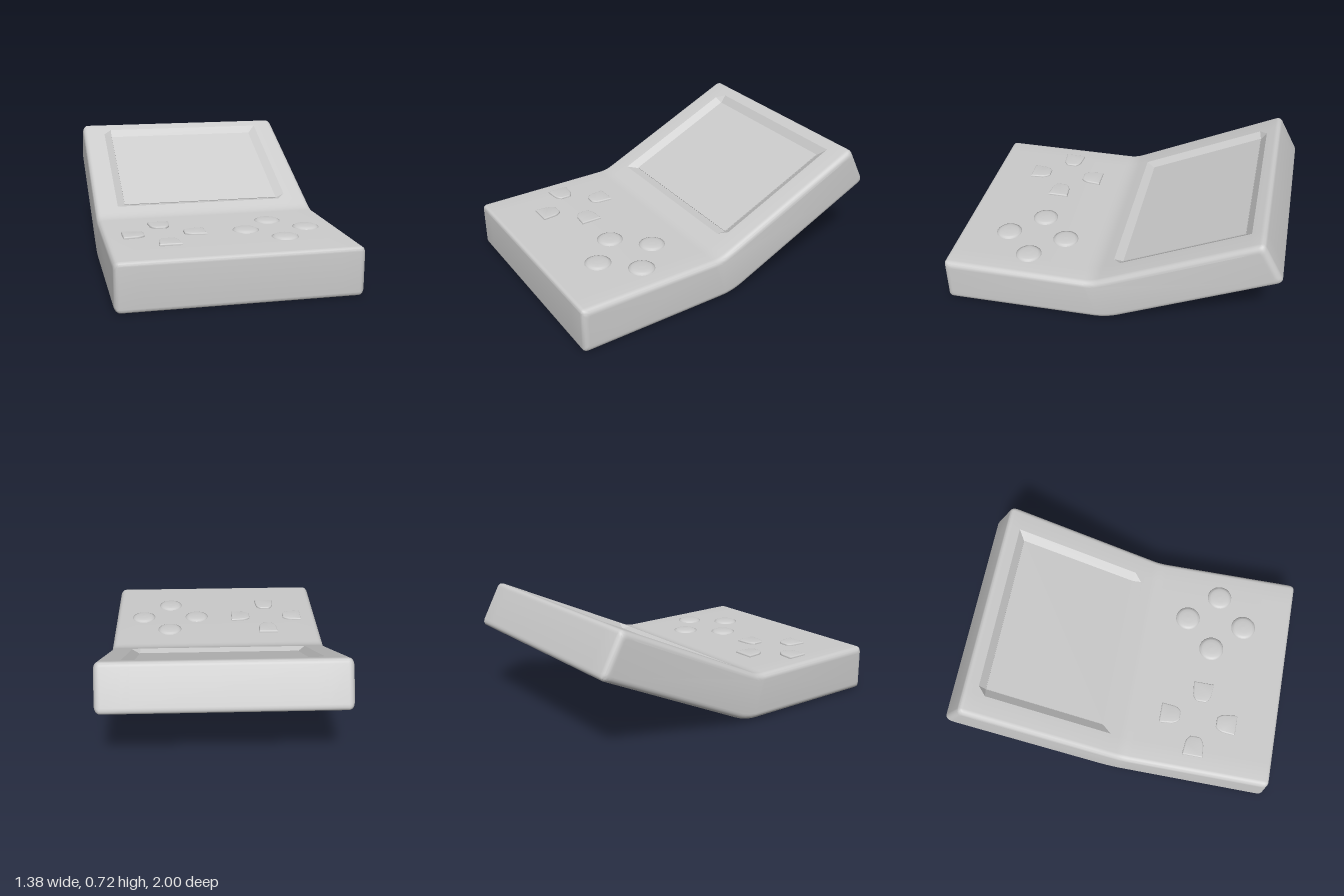
import * as THREE from 'three';
import { mergeVertices, toCreasedNormals } from 'three/addons/utils/BufferGeometryUtils.js';

const grey = new THREE.MeshStandardMaterial({ color: 0xcccccc });
const HALF_WIDTH = 0.692, EDGE = 0.035, DECK = 0.28;

// Side outline as [z, y, corner radius], counter-clockwise seen from -x
const CORNERS = [
  [1, 0, 0.025], [1, DECK, 0.025], [0.09, DECK, 0.05],
  [-0.875, 0.729, 0.03], [-1.008, 0.482, 0.035], [0.0, 0.012, 0.08],
];
const HINGE = new THREE.Vector2(0.09, DECK);
const UP_SLOPE = new THREE.Vector2(-0.965, 0.449).normalize();
const SLOPE_NORMAL = new THREE.Vector2(UP_SLOPE.y, -UP_SLOPE.x);
const SCREEN_START = 0.162, SCREEN_END = 0.932, BEVEL = 0.05, DEPTH = 0.03;

// Point on the lid face, a distance along the slope and a depth below it
const onLid = (s, depth) => HINGE.clone().addScaledVector(UP_SLOPE, s).addScaledVector(SLOPE_NORMAL, -depth);

// Rounded outline, inset all round, with the screen recess sunk to a depth
function profile(inset, depth) {
  const n = CORNERS.length;
  const raw = CORNERS.map(([z, y]) => new THREE.Vector2(z, y));
  const dir = (i) => raw[(i + 1) % n].clone().sub(raw[i % n]).normalize();
  const moved = raw.map((p, i) => {
    const a = dir(i + n - 1), b = dir(i);
    const inward = new THREE.Vector2(-a.y - b.y, a.x + b.x);
    return p.clone().addScaledVector(inward, inset / (1 + a.dot(b)));
  });
  const points = [];
  moved.forEach((p, i) => {
    const r = CORNERS[i][2];
    const start = p.clone().addScaledVector(dir(i + n - 1), -r);
    const end = p.clone().addScaledVector(dir(i), r);
    points.push(...new THREE.QuadraticBezierCurve(start, p, end).getPoints(6));
    if (i === 2) {
      points.push(
        onLid(SCREEN_START - BEVEL, inset), onLid(SCREEN_START, inset + depth),
        onLid(SCREEN_END, inset + depth), onLid(SCREEN_END + BEVEL, inset),
      );
    }
  });
  return points;
}

// Bent case: the side outline lofted across the width
function makeCase() {
  const half = [[0.5, 0, DEPTH], [0.5 + BEVEL, 0, 0]];
  for (let i = 0; i <= 6; i++) {
    const a = (i / 6) * Math.PI / 2;
    half.push([HALF_WIDTH - EDGE + EDGE * Math.sin(a), EDGE * (1 - Math.cos(a)), 0]);
  }
  const stations = [...half.map(([x, ...rest]) => [-x, ...rest]).reverse(), ...half];
  const loops = stations.map(([, inset, depth]) => profile(inset, depth));
  const count = loops[0].length, last = loops.length - 1;
  const positions = [], index = [];
  loops.forEach((loop, i) => loop.forEach((p) => positions.push(stations[i][0], p.y, p.x)));
  for (let i = 0; i < last; i++) {
    for (let j = 0; j < count; j++) {
      const k = (j + 1) % count;
      const a = i * count + j, b = a + count, c = (i + 1) * count + k, d = i * count + k;
      index.push(a, b, c, a, c, d);
    }
  }
  // Flat side walls
  for (const [a, b, c] of THREE.ShapeUtils.triangulateShape(loops[0], [])) {
    const o = last * count;
    index.push(a, b, c, o + a, o + c, o + b);
  }
  const geometry = new THREE.BufferGeometry();
  geometry.setAttribute('position', new THREE.Float32BufferAttribute(positions, 3));
  geometry.setIndex(index);
  return toCreasedNormals(mergeVertices(geometry), 0.35);
}

// One direction key, wide at the outside and rounded towards the centre
function makeKey() {
  const s = new THREE.Shape();
  s.moveTo(-0.056, 0.233);
  s.lineTo(-0.05, 0.165);
  s.quadraticCurveTo(-0.045, 0.138, -0.026, 0.124);
  s.lineTo(0.026, 0.124);
  s.quadraticCurveTo(0.045, 0.138, 0.05, 0.165);
  s.lineTo(0.056, 0.233);
  s.closePath();
  const geometry = new THREE.ExtrudeGeometry(s, {
    depth: 0.02, bevelEnabled: true, bevelSize: 0.008, bevelThickness: 0.007, bevelSegments: 3, curveSegments: 5,
  });
  geometry.rotateX(-Math.PI / 2);
  return toCreasedNormals(geometry, 0.6);
}

export function createModel() {
  const model = new THREE.Group();
  model.name = 'handheldConsole';
  const add = (name, geometry, parent = model) => {
    const mesh = new THREE.Mesh(geometry, grey);
    mesh.name = name;
    parent.add(mesh);
    return mesh;
  };

  add('case', makeCase());

  // Screen lying in the lid recess
  const screen = add('screen', new THREE.BoxGeometry(0.998, 0.01, SCREEN_END - SCREEN_START - 0.002));
  const centre = onLid((SCREEN_START + SCREEN_END) / 2, 0.031);
  screen.position.set(0, centre.y, centre.x);
  screen.rotation.x = Math.atan2(-UP_SLOPE.y, -UP_SLOPE.x) * -1;

  // Direction keys
  const pad = new THREE.Group();
  pad.name = 'directionPad';
  pad.position.set(-0.345, DECK - 0.014, 0.51);
  model.add(pad);
  const key = makeKey();
  for (let i = 0; i < 4; i++) add('directionKey', key, pad).rotation.y = i * Math.PI / 2;

  // Domed action buttons with a thin collar
  const dome = new THREE.LatheGeometry([
    [0.078, -0.01], [0.078, 0.001], [0.07, 0.003], [0.067, 0.007],
    [0.058, 0.011], [0.035, 0.014], [0, 0.015],
  ].map(([r, y]) => new THREE.Vector2(r, y)), 24);
  const buttons = new THREE.Group();
  buttons.name = 'actionButtons';
  buttons.position.set(0.32, DECK, 0.52);
  model.add(buttons);
  for (let i = 0; i < 4; i++) {
    const a = i * Math.PI / 2;
    add('actionButton', dome, buttons).position.set(0.183 * Math.cos(a), 0, 0.183 * Math.sin(a));
  }

  return model;
}
